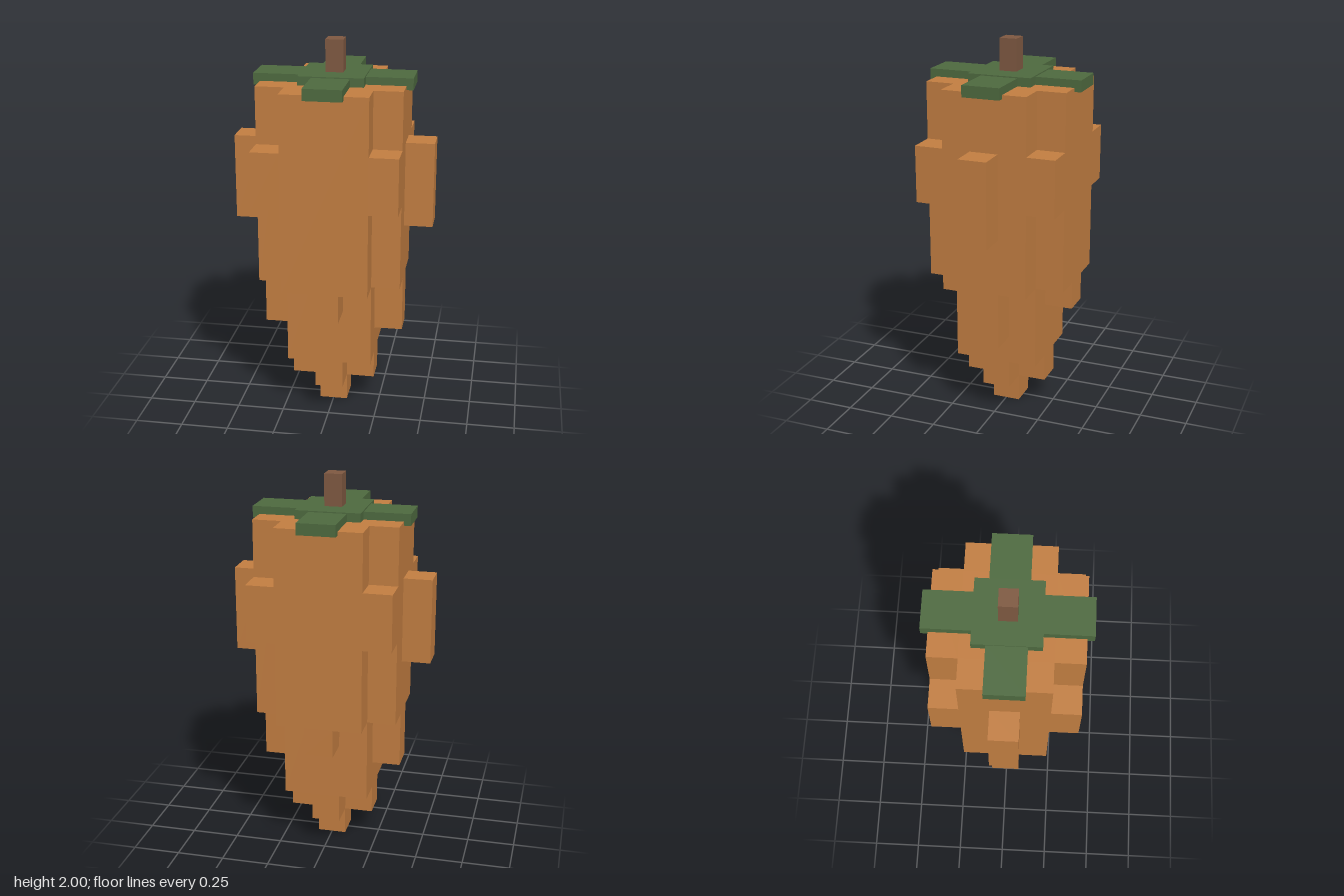
import * as THREE from 'three';

const U = 0.149; // edge of one building block

export function createModel() {
  const model = new THREE.Group();
  const orange = new THREE.MeshStandardMaterial({ color: 0xc47f42 });
  orange.name = 'carrot orange';
  const green = new THREE.MeshStandardMaterial({ color: 0x4f6b40 });
  green.name = 'leaf green';
  const brown = new THREE.MeshStandardMaterial({ color: 0x805a42 });
  brown.name = 'stem brown';

  // Box of size w, d centred on x, z and reaching from y0 to y1
  function box(name, material, w, d, y0, y1, x = 0, z = 0) {
    const mesh = new THREE.Mesh(new THREE.BoxGeometry(w, y1 - y0, d), material);
    mesh.name = name;
    mesh.position.set(x, (y0 + y1) / 2, z);
    model.add(mesh);
  }

  // The same, measured in blocks
  const blocks = (name, w, d, y0, y1, x = 0, z = 0) =>
    box(name, orange, w * U, d * U, y0 * U, y1 * U, x * U, z * U);

  // Root core, widening upwards
  blocks('rootTip', 1, 1, 0, 2);
  blocks('rootCore', 3, 3, 2, 12);

  for (const s of [-1, 1]) {
    // Stepped taper
    blocks('tipSide', 1, 1, 1, 2, s, 0);
    blocks('tipFace', 1, 1, 1, 2, 0, s);
    blocks('lowerSideStep', 1, 1, 3, 5, 2 * s, 0);
    blocks('lowerFaceStep', 1, 1, 4, 5, 0, 2 * s);

    // Broad upper body
    blocks('sidePanel', 1, 3, 5, 12, 2 * s, 0);
    blocks('facePanel', 3, 1, 5, 12, 0, 2 * s);

    // Knobs on the sides
    blocks('sideKnob', 1, 1, 7, 10, 3 * s, 0);

    // Corner bulges
    for (const t of [-1, 1]) blocks('cornerBulge', 1, 1, 8, 10, 2 * s, 2 * t);

    // Leaf arms
    box('sideLeaf', green, 0.25, 0.197, 1.768, 1.828, s * 0.283, 0);
    box('faceLeaf', green, 0.197, 0.25, 1.768, 1.828, 0, s * 0.283);
  }

  // Crown plate and stem
  box('leafCrown', green, 0.336, 0.336, 1.776, 1.834);
  box('stem', brown, 0.092, 0.092, 1.82, 2);

  return model;
}
